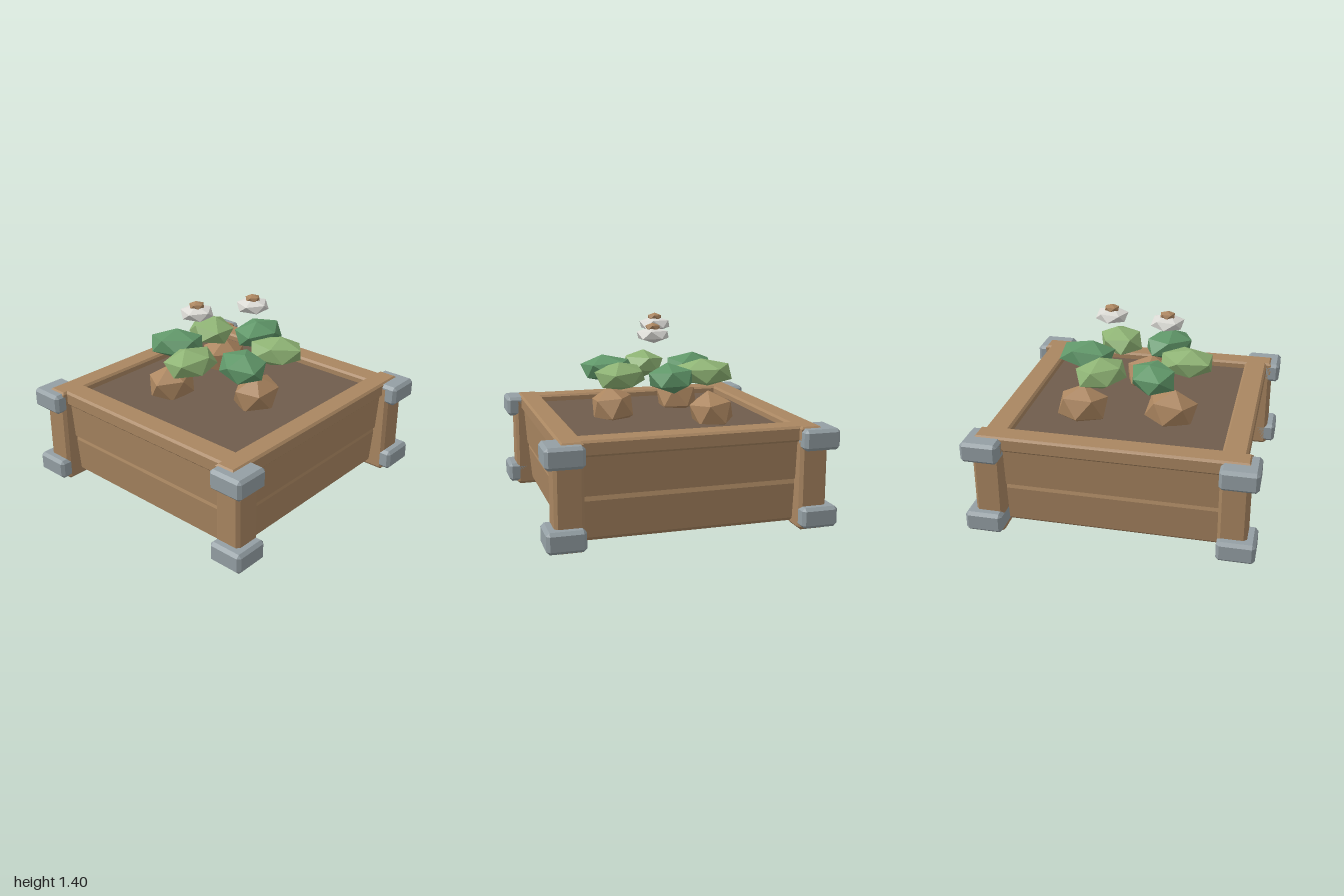
import * as THREE from 'three';
import { ConvexGeometry } from 'three/addons/geometries/ConvexGeometry.js';

const mat = (name, color) => {
  const m = new THREE.MeshStandardMaterial({ color, flatShading: true });
  m.name = name;
  return m;
};

// Box with chamfered edges, given by its min and max corners
function chamferBox(min, max, bevel) {
  const c = min.map((v, i) => (v + max[i]) / 2);
  const h = min.map((v, i) => (max[i] - v) / 2);
  const points = [];
  for (const sx of [-1, 1]) for (const sy of [-1, 1]) for (const sz of [-1, 1]) {
    for (let full = 0; full < 3; full++) {
      const p = [sx, sy, sz].map((s, i) => c[i] + s * (h[i] - (i === full ? 0 : bevel)));
      points.push(new THREE.Vector3(...p));
    }
  }
  return new ConvexGeometry(points);
}

// Twenty-sided lump standing on one of its corners, leaning a little
function lump(rx, ry, rz, turn, lean = 0) {
  return new THREE.IcosahedronGeometry(1, 0)
    .rotateZ(Math.atan(2 / (1 + Math.sqrt(5))) + lean)
    .rotateY(turn)
    .scale(rx, ry, rz);
}

// Chamfered square frame whose front and back beams overhang the side beams
function topFrame(bottom, top, bevel) {
  const quarter = [[0.9, 0.74], [0.935, 0.74], [0.935, 0.89]];
  const mirrored = [...quarter].reverse();
  const outline = [
    ...quarter,
    ...mirrored.map(([x, y]) => [-x, y]),
    ...quarter.map(([x, y]) => [-x, -y]),
    ...mirrored.map(([x, y]) => [x, -y]),
  ];
  const toPoints = (list) => list.map(([x, y]) => new THREE.Vector2(x, y));
  const shape = new THREE.Shape(toPoints(outline));
  const r = 0.73;
  shape.holes.push(new THREE.Path(toPoints([[-r, -r], [-r, r], [r, r], [r, -r]])));
  return new THREE.ExtrudeGeometry(shape, {
    depth: top - bottom - 2 * bevel,
    bevelSize: bevel, bevelThickness: bevel, bevelOffset: -bevel, bevelSegments: 1,
  }).rotateX(-Math.PI / 2).translate(0, bottom + bevel, 0);
}

export function createModel() {
  const model = new THREE.Group();
  model.name = 'planter';

  const wood = mat('wood', 0xa98661);
  const metal = mat('metal', 0x949fa4);
  const soilMat = mat('soil', 0x705d4c);
  const clod = mat('lightEarth', 0xac8660);
  const darkLeaf = mat('darkLeaf', 0x609769);
  const lightLeaf = mat('lightLeaf', 0x8eb374);
  const white = mat('petalWhite', 0xdcdbd6);

  const add = (name, geometry, material, parent = model) => {
    const mesh = new THREE.Mesh(geometry, material);
    mesh.name = name;
    parent.add(mesh);
    return mesh;
  };

  // Flared walls of two plank rows with a groove between them, closed below
  const profile = [
    [0, 0.03], [0.79, 0.03], [0.82, 0.058], [0.843, 0.31], [0.832, 0.345],
    [0.852, 0.345], [0.872, 0.62],
  ].map(([r, y]) => new THREE.Vector2(r * Math.SQRT2, y));
  add('plankWalls', new THREE.LatheGeometry(profile, 4, Math.PI / 4), wood);

  // Soil bed and the frame around it
  add('soil', new THREE.BoxGeometry(1.52, 0.05, 1.52), soilMat).position.y = 0.645;
  add('topFrame', topFrame(0.612, 0.72, 0.015), wood);

  // Corner posts with metal caps at foot and head
  for (const sx of [-1, 1]) for (const sz of [-1, 1]) {
    const corner = new THREE.Group();
    corner.name = 'cornerPost';
    model.add(corner);
    const span = (s, a, b) => (s > 0 ? [a, b] : [-b, -a]);
    const block = (name, a, b, y0, y1, bevel, material) => {
      const [x0, x1] = span(sx, a, b), [z0, z1] = span(sz, a, b);
      add(name, chamferBox([x0, y0, z0], [x1, y1, z1], bevel), material, corner);
    };
    block('post', 0.74, 0.938, 0, 0.7, 0.022, wood);
    block('footCap', 0.74, 1, 0.025, 0.17, 0.022, metal);
    block('headCap', 0.74, 1, 0.565, 0.71, 0.022, metal);
  }

  // Clods of earth
  const clods = [[-0.305, -0.26, 0.2], [-0.035, 0.32, 0.9], [0.325, -0.32, 1.5]];
  for (const [x, z, turn] of clods) {
    add('earthClod', lump(0.2, 0.152, 0.168, turn, 0.15), clod).position.set(x, 0.74, z);
  }

  // Ring of six leaf clumps, alternating in colour
  for (let i = 0; i < 6; i++) {
    const a = (i * Math.PI) / 3;
    const leaf = add('leafClump', lump(0.22, 0.106, 0.172, 0.4 + i * 0.7, 0.2),
      i % 2 ? lightLeaf : darkLeaf);
    leaf.position.set(0.37 * Math.cos(a), 1, -0.365 * Math.sin(a));
    leaf.rotation.y = a;
  }

  // Two flowers
  for (const [x, y, z] of [[-0.235, 1.317, -0.063], [0.2, 1.287, 0.08]]) {
    const flower = new THREE.Group();
    flower.name = 'flower';
    flower.position.set(x, y, z);
    model.add(flower);
    add('petals', lump(0.127, 0.058, 0.127, 0.3, 0.12), white, flower);
    add('flowerCentre', lump(0.058, 0.032, 0.058, 0.3), clod, flower).position.y = 0.053;
  }

  return model;
}
